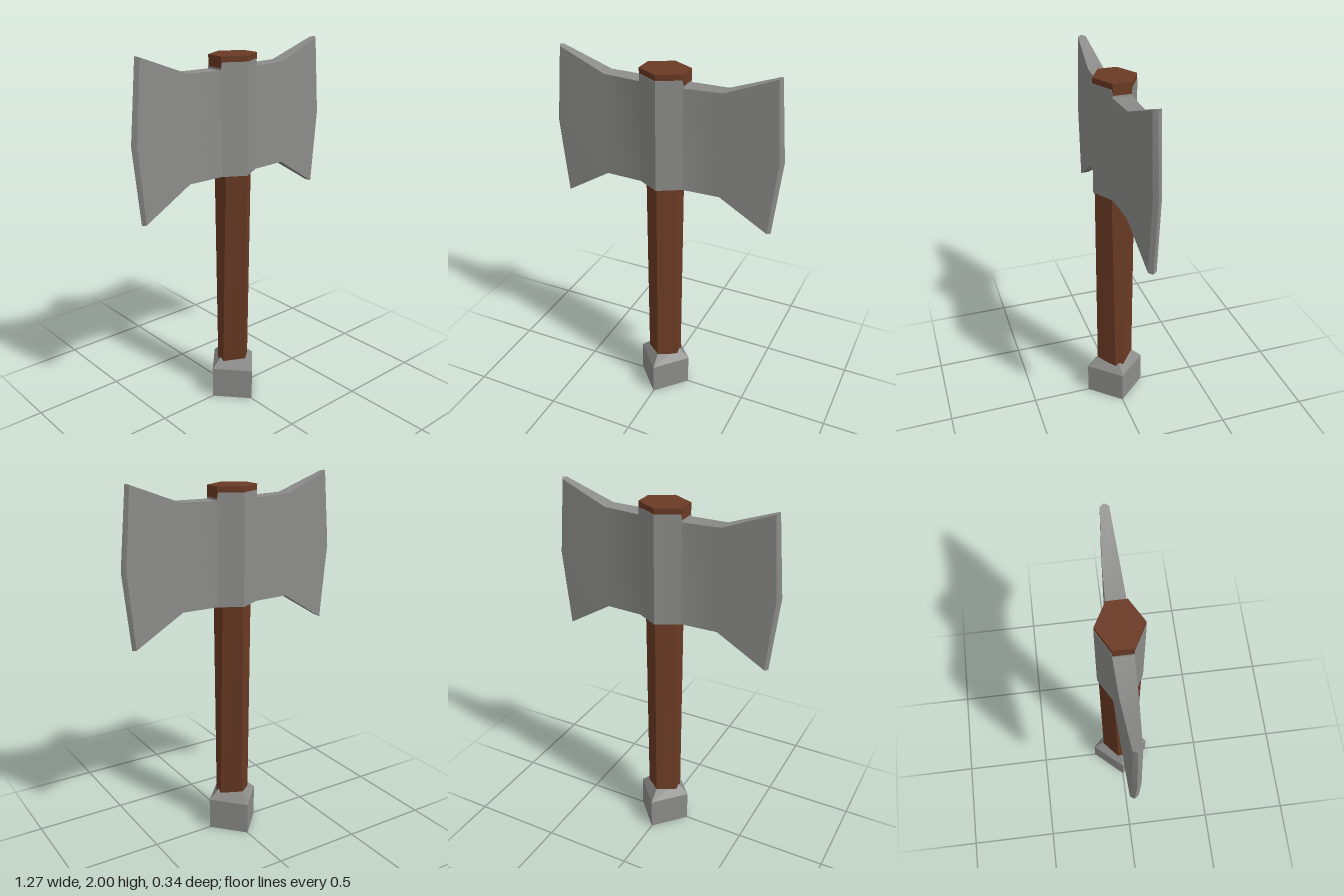
import * as THREE from 'three';
import { toCreasedNormals } from 'three/addons/utils/BufferGeometryUtils.js';

// Skin a list of equal-length rings of [x, y, z] points, closing both ends
function loft(rings, crease) {
  const pos = [];
  const tri = (a, b, c) => pos.push(...a, ...b, ...c);
  const n = rings[0].length;
  for (let i = 0; i < rings.length - 1; i++) {
    for (let j = 0; j < n; j++) {
      const k = (j + 1) % n;
      const a = rings[i][j], b = rings[i][k], c = rings[i + 1][j], d = rings[i + 1][k];
      tri(a, c, b);
      tri(b, c, d);
    }
  }
  const first = rings[0], last = rings[rings.length - 1];
  for (let j = 1; j < n - 1; j++) {
    tri(first[0], first[j], first[j + 1]);
    tri(last[0], last[j + 1], last[j]);
  }
  const geometry = new THREE.BufferGeometry();
  geometry.setAttribute('position', new THREE.Float32BufferAttribute(pos, 3));
  geometry.computeVertexNormals();
  return crease ? toCreasedNormals(geometry, crease) : geometry;
}

// Six-sided section with ridges at front and back and narrow flat sides
const hexRing = (y, x, side, ridge) => [
  [x, y, -side], [x, y, side], [0, y, ridge],
  [-x, y, side], [-x, y, -side], [0, y, -ridge],
];

const diamondRing = (y, x, z) => [[x, y, 0], [0, y, z], [-x, y, 0], [0, y, -z]];

// Blade section: x at the corners, x at mid height, bottom, top, half thickness
const bladeRing = ([xc, xm, bottom, top, z], s) => [
  [s * xc, bottom, z], [s * xm, 1.58, z], [s * xc, top, z],
  [s * xc, top, -z], [s * xm, 1.58, -z], [s * xc, bottom, -z],
];

export function createModel() {
  const wood = new THREE.MeshStandardMaterial({ color: 0x6a3a24 });
  wood.name = 'brown wood';
  const steel = new THREE.MeshStandardMaterial({ color: 0x8c8c8a });
  steel.name = 'grey steel';

  const group = new THREE.Group();
  group.name = 'doubleAxe';
  const add = (name, geometry, material) => {
    const mesh = new THREE.Mesh(geometry, material);
    mesh.name = name;
    group.add(mesh);
  };

  // Tapered handle, flaring inside the head
  add('handle', loft([
    hexRing(0.15, 0.092, 0.022, 0.106),
    hexRing(1.34, 0.088, 0.045, 0.110),
    hexRing(1.85, 0.119, 0.047, 0.113),
    hexRing(1.96, 0.12, 0.05, 0.116),
  ]), wood);

  // Diamond pommel with a sloped shoulder
  add('pommel', loft([
    diamondRing(0, 0.153, 0.168),
    diamondRing(0.18, 0.153, 0.168),
    diamondRing(0.24, 0.085, 0.105),
  ]), steel);

  // Double blade: ridged socket, flared cheeks, bevelled cutting edge
  const half = [
    [0.115, 0.115, 1.34, 1.93, 0.053],
    [0.121, 0.121, 1.34, 1.89, 0.05],
    [0.32, 0.32, 1.34, 1.895, 0.042],
    [0.58, 0.615, 1.175, 1.995, 0.022],
    [0.594, 0.635, 1.17, 2.0, 0],
  ];
  const rings = [
    ...half.map((s) => bladeRing(s, -1)).reverse(),
    bladeRing([0, 0, 1.34, 1.93, 0.118], 1),
    ...half.map((s) => bladeRing(s, 1)),
  ];
  add('doubleBlade', loft(rings, 0.6), steel);

  return group;
}
